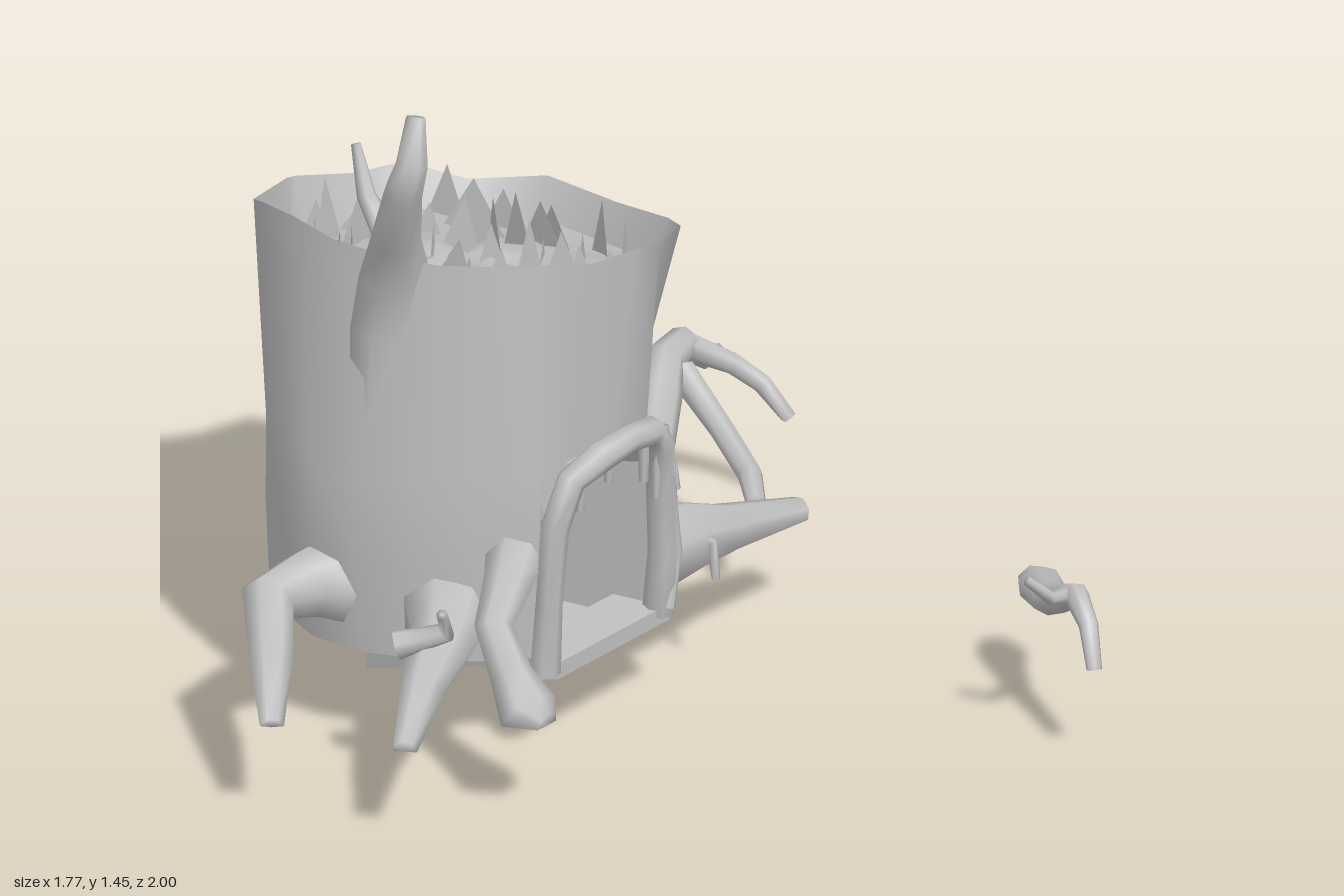
import * as THREE from 'three';

const GROUND = 0.22;
const wood = new THREE.MeshStandardMaterial({ color: 0xc0c0c0, side: THREE.DoubleSide });
wood.name = 'grey wood';

function meshFrom(name, positions, index, flat = false) {
  let g = new THREE.BufferGeometry();
  g.setAttribute('position', new THREE.Float32BufferAttribute(positions, 3));
  g.setIndex(index);
  if (flat) g = g.toNonIndexed();
  g.computeVertexNormals();
  const m = new THREE.Mesh(g, wood);
  m.name = name;
  return m;
}

// Tapered kinked limb through points [x, y, z, radius], cut flat at minY
function limb(name, pts, minY = GROUND, sides = 7) {
  const P = pts.map(p => new THREE.Vector3(p[0], p[1], p[2]));
  const pos = [], idx = [], n = P.length;
  const dir = i => P[Math.min(i + 1, n - 1)].clone().sub(P[Math.max(i - 1, 0)]).normalize();
  let t = dir(0);
  let u = new THREE.Vector3(0, 1, 0).cross(t);
  if (u.length() < 0.1) u.set(1, 0, 0);
  u.normalize();
  for (let i = 0; i < n; i++) {
    const nt = dir(i);
    u.applyQuaternion(new THREE.Quaternion().setFromUnitVectors(t, nt));
    t = nt;
    const v = t.clone().cross(u);
    for (let k = 0; k < sides; k++) {
      const a = k / sides * Math.PI * 2;
      const q = P[i].clone().addScaledVector(u, Math.cos(a) * pts[i][3]).addScaledVector(v, Math.sin(a) * pts[i][3]);
      pos.push(q.x, Math.max(q.y, minY), q.z);
      const k1 = (k + 1) % sides, A = i * sides, B = A + sides;
      if (i < n - 1) idx.push(A + k, A + k1, B + k1, A + k, B + k1, B + k);
    }
  }
  // Cap at the tip
  const c = pos.length / 3, last = (n - 1) * sides;
  pos.push(P[n - 1].x, Math.max(P[n - 1].y, minY), P[n - 1].z);
  for (let k = 0; k < sides; k++) idx.push(c, last + k, last + (k + 1) % sides);
  return meshFrom(name, pos, idx);
}

// Jagged rim outline [x, z], starting at the right edge of the doorway
const RIM = [[0.08, 0.10], [-0.03, 0.13], [-0.15, 0.11], [-0.27, 0.10], [-0.34, 0.03], [-0.41, -0.07], [-0.44, -0.2],
  [-0.42, -0.33], [-0.38, -0.46], [-0.33, -0.58], [-0.26, -0.66], [-0.13, -0.68], [-0.03, -0.74], [0.09, -0.68],
  [0.21, -0.66], [0.28, -0.55], [0.37, -0.42], [0.32, -0.2], [0.33, -0.08], [0.21, 0.05]];
const N = RIM.length;
const rimPoint = i => {
  const [x, z] = RIM[i];
  const y = 0.975 - 0.25 * x + 0.1 * (z + 0.3) + 0.014 * Math.sin(i * 2.4);
  return new THREE.Vector3(x, Math.min(y, 1.08), z);
};
// Lower rings are oval, flattened across the doorway
const ringPoint = (i, y, cx, rx, rz) => {
  const a = (63 + i * 360 / N) * Math.PI / 180;
  const bump = 1 + 0.015 * Math.sin(i * 2.1);
  const z = i < 4 ? 0.105 : -0.26 + Math.sin(a) * rz * bump;
  return new THREE.Vector3(cx + Math.cos(a) * rx * bump, y, z);
};
const waist = i => ringPoint(i, 0.62, -0.135, 0.375, 0.36);

function trunk() {
  const pos = [], idx = [];
  for (let r = 0; r < 4; r++) for (let i = 0; i < N; i++) {
    const p = r === 0 ? ringPoint(i, GROUND, -0.1, 0.395, 0.37)
      : r === 1 ? ringPoint(i, 0.42, -0.12, 0.385, 0.37) : r === 2 ? waist(i) : rimPoint(i);
    pos.push(p.x, p.y, p.z);
    if (r === 3 || (r < 2 && i < 3)) continue; // doorway gap
    const a = r * N + i, b = r * N + (i + 1) % N;
    idx.push(a, a + N, b + N, a, b + N, b);
  }
  return meshFrom('trunk', pos, idx);
}

// Broken wood inside the rim: uneven floor plus thin upright splinters
function brokenTop() {
  const g = new THREE.Group();
  g.name = 'brokenTop';
  const c = new THREE.Vector3(-0.04, 0.9, -0.29), pos = [], idx = [], rings = [0.975, 0.72, 0.45, 0.2];
  const floor = (i, s, h) => {
    const p = waist(i).lerp(rimPoint(i), 0.72).lerp(c, 1 - s);
    p.y += h;
    return p;
  };
  rings.forEach((s, r) => {
    for (let i = 0; i < N; i++) {
      const p = floor(i, s, r ? 0.022 * Math.sin(i * 1.3 + r * 1.7) : 0);
      pos.push(p.x, p.y, p.z);
      const a = r * N + i, b = r * N + (i + 1) % N;
      if (r < 3) idx.push(a, b + N, b, a, a + N, b + N);
      else idx.push(a, N * 4, b);
    }
  });
  pos.push(c.x, c.y, c.z);
  g.add(meshFrom('roughFloor', pos, idx));
  const sp = [], si = [];
  [[0.86, 1], [0.64, 2], [0.42, 2], [0.22, 4]].forEach(([s, step], r) => {
    for (let i = 0; i < N; i += step) {
      const p = floor(i, s, -0.04), q = floor((i + step) % N, s * 0.88, -0.04);
      const tip = p.clone().lerp(q, 0.5 + 0.15 * Math.sin(i * 2.7));
      tip.y += 0.13 + 0.035 * Math.sin(i * 1.9 + r);
      const o = sp.length / 3;
      for (const v of [p, q, tip]) sp.push(v.x, v.y, v.z);
      si.push(o, o + 1, o + 2);
    }
  });
  g.add(meshFrom('splinters', sp, si, true));
  return g;
}

// Narrowing steps going down into the ground through a tapering tunnel
function stairs() {
  const g = new THREE.Group();
  g.name = 'stairs';
  const cx = -0.11, steps = 5, pos = [], idx = [];
  const z = s => 0.12 - 0.55 * s, half = s => 0.175 - 0.097 * s;
  for (let i = 0; i < steps; i++) {
    const y = 0.21 - 0.042 * i, w0 = half(i / steps), w1 = half((i + 1) / steps);
    const o = pos.length / 3;
    for (const [w, yy, s] of [[w0, y, i], [w1, y, i + 1], [w1, y - 0.042, i + 1]])
      pos.push(cx - w, yy, z(s / steps), cx + w, yy, z(s / steps));
    idx.push(o, o + 1, o + 3, o, o + 3, o + 2, o + 2, o + 3, o + 5, o + 2, o + 5, o + 4);
  }
  g.add(meshFrom('steps', pos, idx, true));

  // Tunnel walls and sloping ceiling: arch sections [depth, top]
  const arch = [[-1, 0], [-1, 0.75], [-0.65, 1], [0.65, 1], [1, 0.75], [1, 0]], n = arch.length;
  const tp = [], ti = [];
  [[0, 0.63], [0.41, 0.6], [1, 0.13]].forEach(([s, top], r) => {
    const low = 0.21 * (1 - s);
    for (const [u, v] of arch) tp.push(cx + u * half(s), low + v * (top - low), z(s));
    for (let k = 0; r < 2 && k < n - 1; k++) {
      const a = r * n + k;
      ti.push(a, a + n, a + n + 1, a, a + n + 1, a + 1);
    }
  });
  for (let k = 1; k < n - 1; k++) ti.push(2 * n, 2 * n + k + 1, 2 * n + k);
  g.add(meshFrom('tunnel', tp, ti, true));

  const sill = new THREE.Mesh(new THREE.BoxGeometry(0.36, 0.035, 0.04), wood);
  sill.name = 'doorSill';
  sill.position.set(cx, 0.2, 0.115);
  g.add(sill);
  return g;
}

function doorFrame() {
  const g = new THREE.Group();
  g.name = 'doorFrame';
  g.add(limb('arch', [[-0.305, 0.2, 0.12, 0.032], [-0.305, 0.36, 0.13, 0.028], [-0.3, 0.52, 0.14, 0.03], [-0.265, 0.62, 0.155, 0.03],
    [-0.19, 0.645, 0.165, 0.032], [-0.1, 0.655, 0.17, 0.028], [-0.02, 0.64, 0.16, 0.03], [0.025, 0.59, 0.15, 0.03],
    [0.04, 0.47, 0.135, 0.028], [0.055, 0.34, 0.13, 0.03], [0.055, 0.2, 0.12, 0.034]], 0.2));
  g.add(limb('creeper', [[0.05, 0.22, 0.15, 0.012], [0.085, 0.33, 0.14, 0.012], [0.05, 0.5, 0.15, 0.012], [0.01, 0.64, 0.17, 0.01]]));
  for (const [x, y] of [[-0.23, 0.54], [-0.14, 0.57], [-0.03, 0.53], [0.01, 0.48]])
    g.add(limb('hangingTwig', [[x, 0.64, 0.15, 0.012], [x, y, 0.15, 0.01]], 0, 5));
  return g;
}

export function createModel() {
  const model = new THREE.Group();
  model.name = 'treeStump';
  model.add(trunk(), brokenTop(), stairs(), doorFrame());

  // Dead branch growing from the trunk's side
  model.add(limb('branch', [[-0.43, 0.66, -0.2, 0.06], [-0.4, 0.9, -0.2, 0.08], [-0.405, 1.03, -0.18, 0.075], [-0.465, 1.15, -0.13, 0.052],
    [-0.53, 1.29, -0.06, 0.04], [-0.515, 1.35, -0.05, 0.033], [-0.49, 1.44, -0.06, 0.02]]));
  model.add(limb('branchTwig', [[-0.47, 1.13, -0.14, 0.03], [-0.46, 1.21, -0.21, 0.02], [-0.45, 1.31, -0.245, 0.01]]));

  // Roots spreading over the ground
  const roots = {
    leftRoot: [[-0.44, 0.34, -0.28, 0.1], [-0.53, 0.35, -0.31, 0.07], [-0.65, 0.36, -0.31, 0.055], [-0.75, 0.29, -0.22, 0.045], [-0.87, 0.22, -0.12, 0.025]],
    leftFrontRoot: [[-0.41, 0.32, -0.05, 0.09], [-0.48, 0.3, 0.0, 0.07], [-0.62, 0.26, 0.06, 0.045], [-0.79, 0.22, 0.155, 0.025]],
    leftFrontTwig: [[-0.6, 0.33, -0.02, 0.03], [-0.54, 0.36, 0.06, 0.02], [-0.58, 0.42, 0.08, 0.012]],
    doorSideRoot: [[-0.33, 0.44, 0.06, 0.06], [-0.4, 0.42, 0.1, 0.05], [-0.48, 0.37, 0.13, 0.04], [-0.5, 0.29, 0.19, 0.045], [-0.52, 0.23, 0.25, 0.065], [-0.52, 0.22, 0.3, 0.03]],
    rightFrontRoot: [[0.12, 0.28, 0.04, 0.09], [0.2, 0.29, 0.06, 0.08], [0.33, 0.26, 0.06, 0.055], [0.54, 0.23, 0.085, 0.03]],
    rightRoot: [[0.26, 0.3, -0.26, 0.09], [0.36, 0.31, -0.27, 0.068], [0.48, 0.28, -0.25, 0.055], [0.57, 0.36, -0.3, 0.05],
      [0.65, 0.385, -0.35, 0.042], [0.73, 0.39, -0.37, 0.035], [0.79, 0.34, -0.36, 0.025], [0.88, 0.31, -0.4, 0.014]],
    rightRootFork: [[0.73, 0.39, -0.37, 0.03], [0.82, 0.33, -0.31, 0.022], [0.85, 0.29, -0.26, 0.02], [0.87, 0.22, -0.21, 0.018]],
    rightRootRunner: [[0.68, 0.36, -0.33, 0.03], [0.65, 0.28, -0.2, 0.025], [0.59, 0.24, -0.08, 0.025], [0.51, 0.23, 0.0, 0.02]],
    backRightRoot: [[0.16, 0.3, -0.48, 0.1], [0.26, 0.34, -0.56, 0.065], [0.38, 0.34, -0.62, 0.05], [0.48, 0.28, -0.67, 0.04], [0.62, 0.23, -0.7, 0.02]],
    backRoot: [[0.0, 0.29, -0.55, 0.1], [0.02, 0.3, -0.68, 0.075], [0.05, 0.28, -0.79, 0.06], [0.18, 0.31, -0.83, 0.045], [0.25, 0.33, -0.88, 0.04], [0.34, 0.23, -0.98, 0.025]],
    // Fallen twig lying apart from the stump
    fallenTwig: [[0.6, 0.22, 0.635, 0.035], [0.57, 0.225, 0.68, 0.05], [0.51, 0.25, 0.75, 0.037], [0.46, 0.295, 0.83, 0.03], [0.42, 0.335, 0.89, 0.026], [0.385, 0.3, 0.95, 0.02], [0.36, 0.22, 0.985, 0.016]],
    fallenTwigFork: [[0.43, 0.33, 0.87, 0.018], [0.36, 0.345, 0.875, 0.014], [0.32, 0.39, 0.845, 0.01]],
  };
  for (const [name, pts] of Object.entries(roots)) model.add(limb(name, pts));

  // Small shoots hanging off the right side
  for (const [x, z, y] of [[0.35, -0.09, 0.38], [0.21, 0.13, 0.32], [0.48, -0.19, 0.29]])
    model.add(limb('shoot', [[x - 0.03, y, z - 0.03, 0.014], [x, y - 0.02, z, 0.012], [x, GROUND, z + 0.01, 0.009]], GROUND, 5));
  return model;
}
